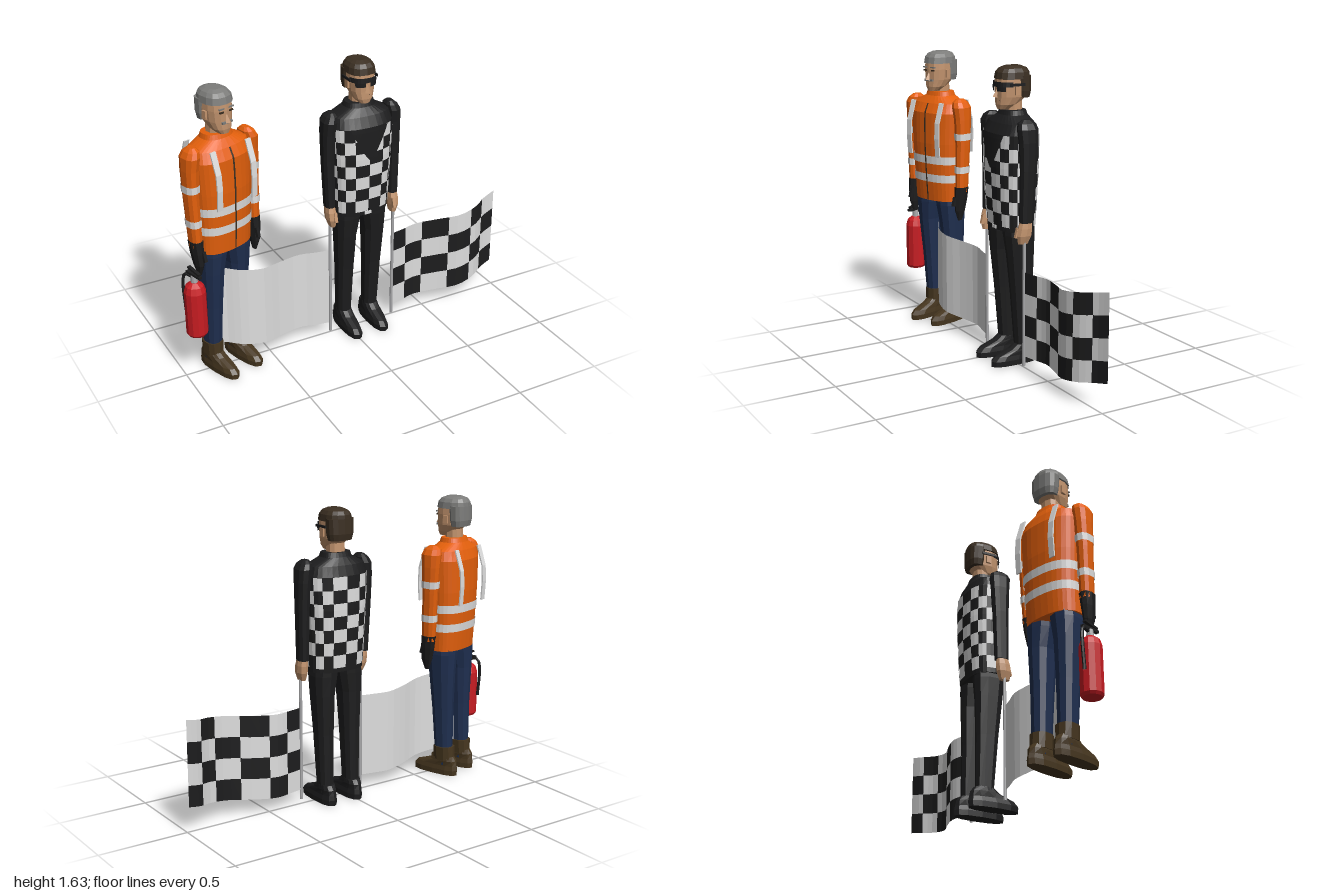
import * as THREE from 'three';

const mat = (name, color, side = THREE.FrontSide) => {
  const m = new THREE.MeshStandardMaterial({ color, side });
  m.name = name;
  return m;
};
const M = {
  black: mat('black', 0x1d1d1e, THREE.DoubleSide),
  white: mat('white', 0xdedede, THREE.DoubleSide),
  orange: mat('orange', 0xe4600c),
  skin: mat('skin', 0xc4956f),
  brown: mat('dark brown', 0x3b2f22),
  grey: mat('grey hair', 0x7d7d7b),
  navy: mat('navy', 0x1f2f50),
  red: mat('red', 0xc81c22),
  boot: mat('boot brown', 0x46361f),
  steel: mat('steel', 0xa8a8aa),
};

function add(parent, name, geo, material, x = 0, y = 0, z = 0) {
  const g = geo.index ? geo.toNonIndexed() : geo;
  g.computeVertexNormals(); // flat facets
  const mesh = new THREE.Mesh(g, material);
  mesh.name = name;
  mesh.position.set(x, y, z);
  parent.add(mesh);
  return mesh;
}
const box = (p, name, m, w, h, d, x, y, z) => add(p, name, new THREE.BoxGeometry(w, h, d), m, x, y, z);

// Faceted sheet from a point function f(i, j)
function sheet(f, nu, nv, out = []) {
  for (let j = 0; j < nv; j++) for (let i = 0; i < nu; i++) {
    const a = f(i, j), b = f(i + 1, j), c = f(i + 1, j + 1), d = f(i, j + 1);
    out.push(...a, ...b, ...c, ...a, ...c, ...d);
  }
  return out;
}
function toGeo(pos) {
  const g = new THREE.BufferGeometry();
  g.setAttribute('position', new THREE.Float32BufferAttribute(pos, 3));
  return g;
}

// A ring is [y, centreX, centreZ, halfWidth, halfDepth]; u = 0 points to the front
const bend = (t) => Math.sign(t) * Math.abs(t) ** 0.8;
function ringPoint([y, cx, cz, w, d], u, off = 0) {
  return [cx + (w + off) * bend(Math.sin(u)), y, cz + (d + off) * bend(Math.cos(u))];
}
function ringAt(rings, y) {
  let k = 0;
  while (k < rings.length - 2 && y > rings[k + 1][0]) k++;
  const t = (y - rings[k][0]) / (rings[k + 1][0] - rings[k][0]);
  return rings[k].map((v, i) => v + (rings[k + 1][i] - v) * t);
}
function loft(rings, n = 10) {
  const ang = (i) => ((i % n) / n) * Math.PI * 2;
  const pos = sheet((i, j) => ringPoint(rings[j], ang(i)), n, rings.length - 1);
  const lo = rings[0], hi = rings[rings.length - 1];
  for (let i = 0; i < n; i++) {
    pos.push(lo[1], lo[0], lo[2], ...ringPoint(lo, ang(i + 1)), ...ringPoint(lo, ang(i)));
    pos.push(hi[1], hi[0], hi[2], ...ringPoint(hi, ang(i)), ...ringPoint(hi, ang(i + 1)));
  }
  return toGeo(pos);
}
// Thin layer lying on a loft; span(v) gives its [u0, u1]
function patch(rings, span, y0, y1, nu, nv, off = 0.004, out = []) {
  return sheet((i, j) => {
    const v = j / nv, [a, b] = span(v), y = y0 + (y1 - y0) * v;
    return ringPoint(ringAt(rings, y), a + ((b - a) * i) / nu, off);
  }, nu, nv, out);
}
const around = () => [0, Math.PI * 2];
const side = (rings, s) => rings.map(([y, x, ...r]) => [y, x * s, ...r]);

const TORSO = [[0.755, 0, -0.02, 0.16, 0.1], [0.92, 0, -0.02, 0.165, 0.112], [1.1, 0, -0.02, 0.174, 0.12],
  [1.28, 0, -0.02, 0.182, 0.118], [1.335, 0, -0.025, 0.168, 0.095], [1.375, 0, -0.03, 0.088, 0.07], [1.4, 0, -0.03, 0.08, 0.062]];
const ARM = [[0.82, 0.195, 0, 0.029, 0.04], [1.1, 0.2, -0.008, 0.034, 0.046], [1.25, 0.198, -0.01, 0.038, 0.054],
  [1.32, 0.192, -0.008, 0.041, 0.06], [1.35, 0.182, -0.008, 0.034, 0.05], [1.368, 0.178, -0.008, 0.016, 0.025]];
const LEG = [[0.06, 0.085, -0.05, 0.041, 0.048], [0.4, 0.086, -0.035, 0.05, 0.062], [0.62, 0.087, -0.026, 0.06, 0.077],
  [0.73, 0.08, -0.022, 0.073, 0.085], [0.79, 0.075, -0.022, 0.074, 0.085]];
const SHOE = [[0, 0.085, 0.005, 0.044, 0.145], [0.03, 0.085, 0.005, 0.046, 0.147], [0.055, 0.085, -0.005, 0.042, 0.132],
  [0.085, 0.085, -0.045, 0.043, 0.085], [0.11, 0.085, -0.053, 0.042, 0.058]];
const SHAFT = [[0.09, 0.085, -0.05, 0.047, 0.062], [0.17, 0.085, -0.048, 0.051, 0.06]];
const HAND = [[0.705, 0.19, 0.018, 0.016, 0.03], [0.75, 0.195, 0.014, 0.026, 0.044], [0.79, 0.195, 0.008, 0.028, 0.042], [0.835, 0.195, 0.002, 0.024, 0.032]];
const GLOVE = [[0.65, 0.19, 0.012, 0.007, 0.014], [0.71, 0.192, 0.012, 0.02, 0.035], [0.78, 0.195, 0.006, 0.027, 0.042], [0.85, 0.195, 0, 0.033, 0.044]];
const HEAD = [[1.405, 0, 0.025, 0.03, 0.034], [1.43, 0, 0.005, 0.052, 0.06], [1.47, 0, -0.018, 0.066, 0.083],
  [1.53, 0, -0.023, 0.071, 0.09], [1.595, 0, -0.025, 0.068, 0.088]];
const HAIR_BACK = [[1.465, 0, -0.072, 0.069, 0.042], [1.5, 0, -0.072, 0.077, 0.05], [1.58, 0, -0.068, 0.08, 0.053]];
const HAIR_TOP = [[1.565, 0, -0.026, 0.079, 0.095], [1.6, 0, -0.028, 0.074, 0.09], [1.62, 0, -0.03, 0.06, 0.075], [1.632, 0, -0.03, 0.035, 0.045]];

// Shared body in a given set of clothes
function person(name, c) {
  const g = new THREE.Group();
  g.name = name;
  add(g, 'torso', loft(TORSO, 32), c.top);
  add(g, 'neck', loft([[1.36, 0, -0.032, 0.05, 0.046], [1.46, 0, -0.03, 0.05, 0.046]]), M.skin);
  add(g, 'head', loft(HEAD, 14), M.skin);
  add(g, 'hairBack', loft(HAIR_BACK, 14), c.hair);
  add(g, 'hairTop', loft(HAIR_TOP, 14), c.hair);
  const nose = add(g, 'nose', new THREE.ConeGeometry(0.017, 0.055, 4), M.skin, 0, 1.495, 0.068);
  nose.rotation.x = -0.25;
  for (const s of [-1, 1]) {
    add(g, 'arm', loft(side(ARM, s)), c.top);
    add(g, 'hand', loft(side(c.handRings, s), 8), c.hand);
    add(g, 'leg', loft(side(LEG, s)), c.legs);
    add(g, 'shoe', loft(side(SHOE, s), 12), c.shoes);
    box(g, 'ear', M.skin, 0.012, 0.045, 0.028, s * 0.075, 1.505, -0.018);
    const thumb = box(g, 'thumb', c.hand, 0.018, 0.055, 0.018, s * 0.183, 0.765, 0.05);
    thumb.rotation.x = -0.25;
  }
  return g;
}

// Checked-shirt person with sunglasses
function flagHolder() {
  const g = person('flagHolder', { top: M.black, hair: M.brown, hand: M.skin, handRings: HAND, legs: M.black, shoes: M.black });
  const checks = [], cols = 16, rows = 7, h = 0.5 / rows, du = (Math.PI * 2) / cols;
  for (let r = 0; r < rows; r++) for (let k = 0; k < cols; k++)
    if ((r + k) % 2) patch(TORSO, () => [k * du, (k + 1) * du], 0.78 + r * h, 0.78 + (r + 1) * h, 2, 2, 0.004, checks);
  add(g, 'shirtChecks', toGeo(checks), M.white);
  add(g, 'shirtNeckPanel', toGeo(patch(TORSO, (v) => [-0.54 * v, 0.54 * v], 1.09, 1.282, 10, 8, 0.008)), M.black);
  box(g, 'beltBuckle', M.white, 0.04, 0.018, 0.008, 0, 0.768, 0.082);
  // Sunglasses
  const lens = patch(HEAD, () => [-1.3, 1.3], 1.525, 1.552, 12, 1, 0.009);
  for (const s of [-1, 1]) {
    patch(HEAD, () => [s > 0 ? 0.12 : -0.85, s > 0 ? 0.85 : -0.12], 1.502, 1.525, 4, 1, 0.009, lens);
    box(g, 'glassesArm', M.black, 0.007, 0.014, 0.09, s * 0.081, 1.537, -0.015);
  }
  add(g, 'sunglasses', toGeo(lens), M.black);
  box(g, 'mouth', M.brown, 0.035, 0.004, 0.006, 0, 1.452, 0.059);
  return g;
}

// Hi-vis person with a fire extinguisher
function marshal() {
  const g = person('marshal', { top: M.orange, hair: M.grey, hand: M.black, handRings: GLOVE, legs: M.navy, shoes: M.boot });
  for (const y of [0.87, 0.98]) add(g, 'jacketBand', toGeo(patch(TORSO, around, y, y + 0.047, 32, 2)), M.white);
  add(g, 'zip', toGeo(patch(TORSO, () => [-0.012, 0.012], 0.76, 1.335, 1, 12, 0.005)), M.brown);
  for (const s of [-1, 1]) {
    const arm = side(ARM, s);
    for (const y of [0.935, 1.13]) add(g, 'sleeveBand', toGeo(patch(arm, around, y, y + 0.04, 10, 1)), M.white);
    add(g, 'bootShaft', loft(side(SHAFT, s)), M.boot);
    // Curved vertical straps, front and back
    const strap = new THREE.Shape([[0.123, 1.03], [0.13, 1.14], [0.125, 1.23], [0.088, 1.345], [0.08, 1.345],
      [0.117, 1.23], [0.122, 1.14], [0.115, 1.03]].map(([a, b]) => new THREE.Vector2(a, b)));
    for (const f of [1, -1]) {
      const m = add(g, f > 0 ? 'frontStrap' : 'backStrap', new THREE.ExtrudeGeometry(strap, { depth: 0.034, bevelEnabled: false }), M.white,
        s * 0.115 + f * 0.017, 0, f > 0 ? -0.005 : -0.04);
      m.rotation.y = -f * Math.PI / 2;
      if (f > 0) m.position.x = s * 0.115 + 0.017;
    }
    box(g, 'eyebrow', M.grey, 0.034, 0.007, 0.008, s * 0.03, 1.543, 0.062);
    box(g, 'eye', M.brown, 0.024, 0.009, 0.008, s * 0.03, 1.525, 0.062);
  }
  box(g, 'moustache', M.grey, 0.064, 0.012, 0.012, 0, 1.468, 0.064);
  box(g, 'mouth', M.brown, 0.036, 0.004, 0.006, 0, 1.45, 0.057);

  // Extinguisher
  const e = new THREE.Group();
  e.name = 'extinguisher';
  e.position.set(-0.213, 0, -0.01);
  const profile = [[0, 0.285], [0.05, 0.285], [0.059, 0.3], [0.059, 0.55], [0.048, 0.585], [0.022, 0.605], [0, 0.605]];
  add(e, 'tank', new THREE.LatheGeometry(profile.map(([x, y]) => new THREE.Vector2(x, y)), 12), M.red);
  add(e, 'valve', new THREE.CylinderGeometry(0.016, 0.02, 0.045, 8), M.steel, 0, 0.62, 0);
  box(e, 'lever', M.black, 0.02, 0.014, 0.11, 0, 0.648, 0.0);
  box(e, 'handle', M.black, 0.018, 0.012, 0.09, 0, 0.672, 0.005).rotation.x = 0.2;
  const hose = new THREE.CatmullRomCurve3([[0, 0.63, -0.01], [-0.01, 0.635, -0.06], [-0.015, 0.59, -0.075], [-0.015, 0.41, -0.066]]
    .map((p) => new THREE.Vector3(...p)));
  add(e, 'hose', new THREE.TubeGeometry(hose, 12, 0.009, 6), M.black);
  g.add(e);
  return g;
}

// Waving cloth on a pole; s mirrors it to either side
function flag(s, checked) {
  const g = new THREE.Group();
  g.name = checked ? 'checkedFlag' : 'plainFlag';
  add(g, 'pole', new THREE.CylinderGeometry(0.009, 0.009, 0.74, 8), M.steel, s * 0.2, 0.39, 0.015);
  const L = 0.715, wave = new THREE.CatmullRomCurve3([[0, 0.015], [0.08, 0], [0.17, -0.018], [0.3, 0.012], [0.43, 0.053], [0.55, 0.035], [0.63, -0.008], [L, -0.03]]
    .map(([x, z]) => new THREE.Vector3(x, 0, z)));
  const cells = { white: [], black: [] };
  for (let c = 0; c < 6; c++) for (let r = 0; r < 4; r++) {
    const list = checked && (c + r) % 2 ? cells.black : cells.white;
    sheet((i, j) => {
      const p = wave.getPoint((c + i / 3) / 6), t = p.x / L;
      const k = s > 0 ? i : 3 - i, q = s > 0 ? p : wave.getPoint((c + k / 3) / 6), tq = s > 0 ? t : q.x / L;
      return [s * (0.205 + q.x), 0.075 - 0.015 * tq + 0.09 * tq * tq + (r + j) * 0.1185, q.z];
    }, 3, 1, list);
  }
  for (const n of ['white', 'black']) if (cells[n].length) add(g, n + 'Cloth', toGeo(cells[n]), M[n]);
  return g;
}

export function createModel() {
  const model = new THREE.Group();
  model.name = 'trackMarshals';
  const holder = flagHolder();
  holder.add(flag(1, true), flag(-1, false));
  holder.position.x = 0.08;
  const helper = marshal();
  helper.position.set(-0.733, 0, 0);
  helper.rotation.y = 0.3;
  model.add(holder, helper);
  return model;
}
